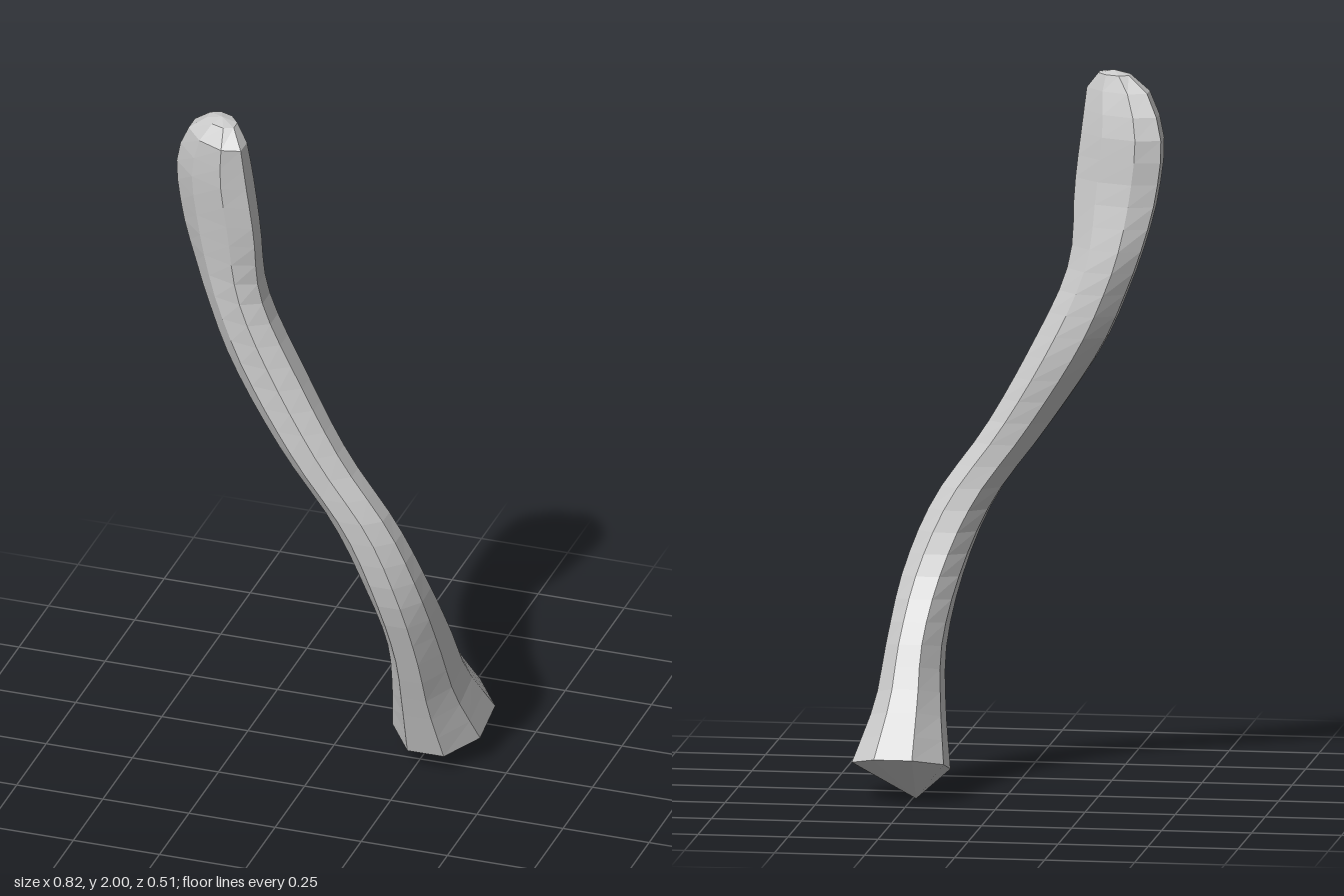
import * as THREE from 'three';

const SIDES = 8;
const RINGS = 30;

// Cross-sections up the shaft: y, x min, x max, z min, z max, skew (degrees), tilt of y along z
const SECTIONS = [
  [0.09, 0.155, 0.41, -0.26, 0.05, 90, -0.27],
  [0.25, 0.178, 0.36, -0.145, 0.1, 90, -0.27],
  [0.4, 0.185, 0.34, -0.07, 0.15, 90, -0.2],
  [0.6, 0.145, 0.305, 0.035, 0.21, 90, -0.1],
  [0.8, 0.06, 0.225, 0.085, 0.23, 90, 0],
  [1.0, -0.085, 0.085, 0.09, 0.23, 90, 0],
  [1.25, -0.25, -0.055, 0.05, 0.22, 80, 0],
  [1.42, -0.325, -0.135, 0.035, 0.215, 72, 0],
  [1.5, -0.355, -0.155, 0.032, 0.215, 66, 0],
  [1.67, -0.4, -0.16, 0.045, 0.23, 57, 0],
  [1.85, -0.41, -0.18, 0.05, 0.245, 57, 0],
  [1.945, -0.37, -0.19, 0.085, 0.25, 57, 0],
];
const TOP_RING = [1.99, -0.315, -0.225, 0.115, 0.205, 65, 0];

// One faceted ring: a skewed ellipse filling the given bounds
function ring([y, x0, x1, z0, z1, skew, tilt]) {
  const phi = THREE.MathUtils.degToRad(skew);
  const angles = Array.from({ length: SIDES }, (_, i) => ((i + 0.5) / SIDES) * Math.PI * 2);
  const us = angles.map((t) => Math.cos(t));
  const vs = angles.map((t) => Math.cos(t - phi));
  const uMax = Math.max(...us);
  const vMax = Math.max(...vs);
  return angles.map((_, i) => {
    const dz = ((vs[i] / vMax) * (z1 - z0)) / 2;
    return [(x0 + x1) / 2 + ((us[i] / uMax) * (x1 - x0)) / 2, y + tilt * dz, (z0 + z1) / 2 + dz];
  });
}

function loft(rings, bottomTip, topTip) {
  const positions = rings.flat(2).concat(bottomTip, topTip);
  const bottom = rings.length * SIDES;
  const top = bottom + 1;
  const last = (rings.length - 1) * SIDES;
  const index = [];
  for (let i = 0; i < SIDES; i++) {
    const j = (i + 1) % SIDES;
    for (let r = 0; r < last; r += SIDES) {
      const a = r + i, b = r + j, c = b + SIDES, d = a + SIDES;
      index.push(a, d, b, b, d, c);
    }
    index.push(bottom, i, j, top, last + j, last + i);
  }
  const geometry = new THREE.BufferGeometry();
  geometry.setAttribute('position', new THREE.Float32BufferAttribute(positions, 3));
  geometry.setIndex(index);
  geometry.computeVertexNormals();
  return geometry;
}

export function createModel() {
  const group = new THREE.Group();
  group.name = 'crookedStick';

  // Smoothly blended sections between the measured ones
  const heights = SECTIONS.map((s) => s[0]);
  const blend = new THREE.CubicInterpolant(heights, SECTIONS.flat(), SECTIONS[0].length);
  const first = heights[0];
  const final = heights[heights.length - 1];
  const rings = [];
  for (let k = 0; k <= RINGS; k++) {
    const y = k === RINGS ? final : first + ((final - first) * k) / RINGS;
    rings.push(ring(k === RINGS ? SECTIONS[SECTIONS.length - 1] : Array.from(blend.evaluate(y))));
  }
  rings.push(ring(TOP_RING));

  // Bent shaft with a blunt pointed foot and a small domed top
  const shaft = new THREE.Mesh(
    loft(rings, [0.24, 0, -0.11], [-0.27, 2, 0.16]),
    new THREE.MeshStandardMaterial({ color: 0xcccccc, flatShading: true })
  );
  shaft.name = 'shaft';
  group.add(shaft);
  return group;
}
